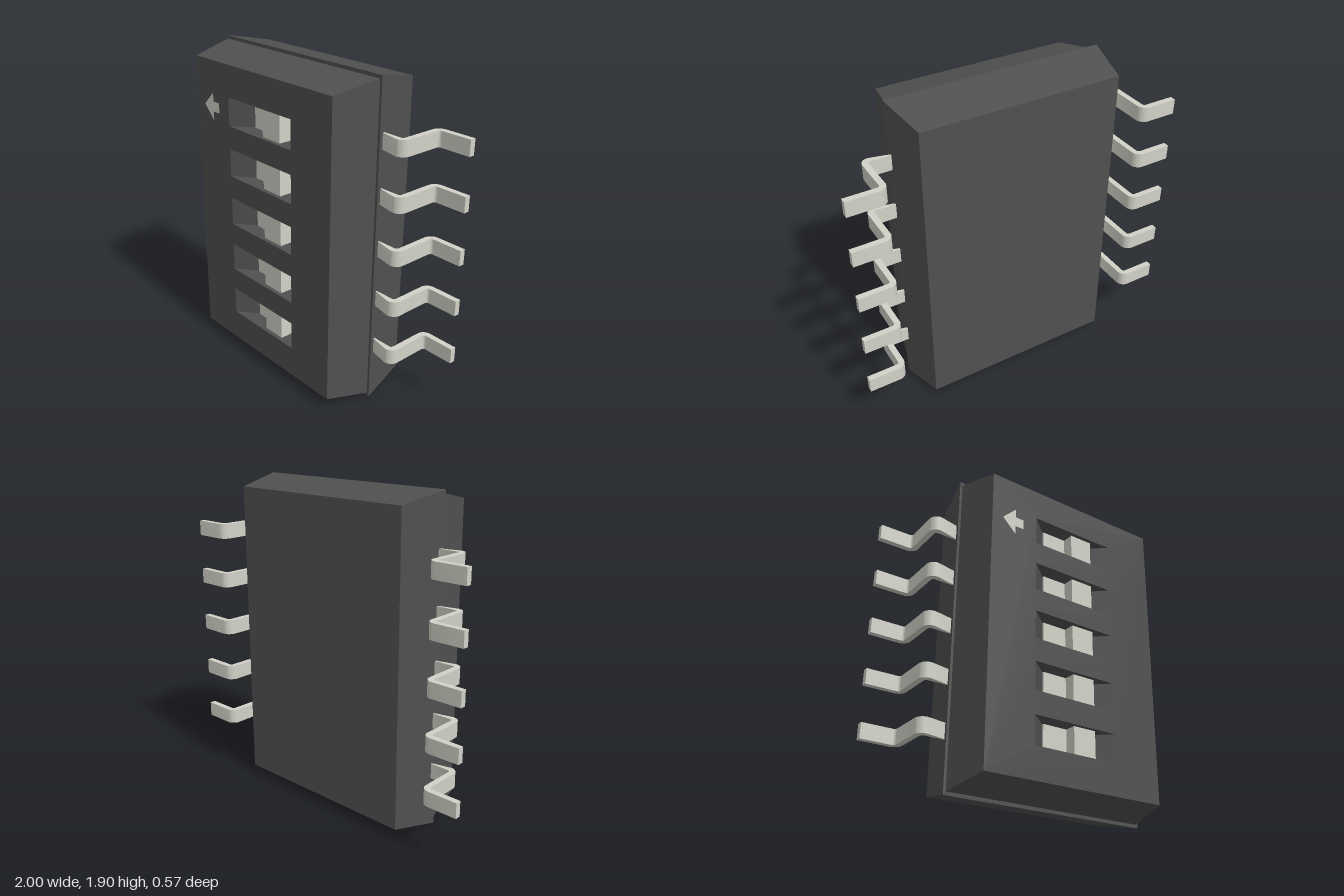
import * as THREE from 'three';
import { toCreasedNormals } from 'three/addons/utils/BufferGeometryUtils.js';

const dark = new THREE.MeshStandardMaterial({ color: 0x505050 });
const light = new THREE.MeshStandardMaterial({ color: 0xd2d2c8 });

const MID = 0.9525;        // height of the body's centre
const PITCH = 0.305;       // spacing of switches and pins
const FRONT = 0.285;       // z of the front face
const SLOT = { x: -0.005, w: 0.54, h: 0.168, floorW: 0.3, depth: 0.105 };

function add(parent, name, geometry, material, x = 0, y = 0, z = 0) {
  const mesh = new THREE.Mesh(geometry, material);
  mesh.name = name;
  mesh.position.set(x, y, z);
  parent.add(mesh);
  return mesh;
}

// Box from z0 (w0 x h0) to z1 (w1 x h1), optionally open at z1 or turned inside out
function taperedBox(z0, w0, h0, z1, w1, h1, { open = false, inward = false } = {}) {
  const g = new THREE.BoxGeometry(1, 1, 1);
  const p = g.attributes.position;
  for (let i = 0; i < p.count; i++) {
    const far = p.getZ(i) > 0;
    p.setXYZ(i, p.getX(i) * (far ? w1 : w0), p.getY(i) * (far ? h1 : h0), far ? z1 : z0);
  }
  let index = Array.from(g.index.array);
  if (open) index.splice(24, 6);
  if (inward) index.reverse();
  g.setIndex(index);
  g.clearGroups();
  g.computeVertexNormals();
  return g;
}

// Front face with a rectangular opening for each switch
function faceGeometry(w, h) {
  const rect = (path, x, y, rw, rh) => path
    .moveTo(x - rw / 2, y - rh / 2).lineTo(x + rw / 2, y - rh / 2)
    .lineTo(x + rw / 2, y + rh / 2).lineTo(x - rw / 2, y + rh / 2).closePath();
  const shape = new THREE.Shape();
  rect(shape, 0, 0, w, h);
  for (let i = -2; i <= 2; i++) {
    const hole = new THREE.Path();
    rect(hole, SLOT.x, i * PITCH, SLOT.w, SLOT.h);
    shape.holes.push(hole);
  }
  return new THREE.ShapeGeometry(shape);
}

// Gull-wing pin: an S-bent strip drawn in x and z, extruded along y
function pinGeometry() {
  const q = Math.PI / 2, inner = 0.015, outer = 0.05, width = 0.09;
  const s = new THREE.Shape();
  s.moveTo(0.6, 0.02);
  s.absarc(0.753, -0.03, outer, q, 0, true);
  s.absarc(0.818, -0.235, inner, 2 * q, 3 * q, false);
  s.lineTo(1, -0.25);
  s.lineTo(1, -0.285);
  s.absarc(0.818, -0.235, outer, 3 * q, 2 * q, true);
  s.absarc(0.753, -0.03, inner, 0, q, false);
  s.lineTo(0.6, -0.015);
  s.closePath();
  const g = new THREE.ExtrudeGeometry(s, { depth: width, bevelEnabled: false, curveSegments: 6 });
  g.rotateX(q).translate(0, width / 2, 0);
  return toCreasedNormals(g, 0.6);
}

export function createModel() {
  const model = new THREE.Group();
  model.name = 'slideSwitchPackage';

  // Body: two tapered halves meeting at a small step
  const body = new THREE.Group();
  body.name = 'body';
  body.position.y = MID;
  model.add(body);
  add(body, 'backHalf', taperedBox(-0.265, 1.18, 1.79, 0.02, 1.29, 1.905), dark);
  add(body, 'frontHalf', taperedBox(0.02, 1.26, 1.865, FRONT, 1.15, 1.76, { open: true }), dark);
  add(body, 'frontFace', faceGeometry(1.15, 1.76), dark, 0, 0, FRONT);

  const slot = taperedBox(-SLOT.depth, SLOT.floorW, SLOT.h, 0, SLOT.w, SLOT.h, { open: true, inward: true });
  const slider = new THREE.BoxGeometry(SLOT.floorW, SLOT.h, 0.01);
  const knob = new THREE.BoxGeometry(0.145, SLOT.h, 0.08);
  const pin = pinGeometry();

  for (let i = -2; i <= 2; i++) {
    const y = MID + i * PITCH;

    // Switch: sloped recess, slider plate and raised knob
    const unit = new THREE.Group();
    unit.name = 'switch';
    unit.position.set(0, y, FRONT);
    model.add(unit);
    add(unit, 'recess', slot, dark, SLOT.x);
    add(unit, 'slider', slider, light, SLOT.x, 0, -0.1);
    add(unit, 'knob', knob, light, 0.0725, 0, -0.065);

    // One pin on each side
    add(model, 'leftPin', pin, light, 0, y);
    add(model, 'rightPin', pin, light, 0, y).rotation.z = Math.PI;
  }

  // Direction arrow beside the top switch
  const arrow = new THREE.Shape([
    [-0.505, 0], [-0.42, -0.083], [-0.42, -0.03], [-0.365, -0.03],
    [-0.365, 0.03], [-0.42, 0.03], [-0.42, 0.083],
  ].map(([x, y]) => new THREE.Vector2(x, y)));
  add(model, 'arrowMark', new THREE.ShapeGeometry(arrow), light, 0, MID + 2 * PITCH, FRONT + 0.002);

  return model;
}
